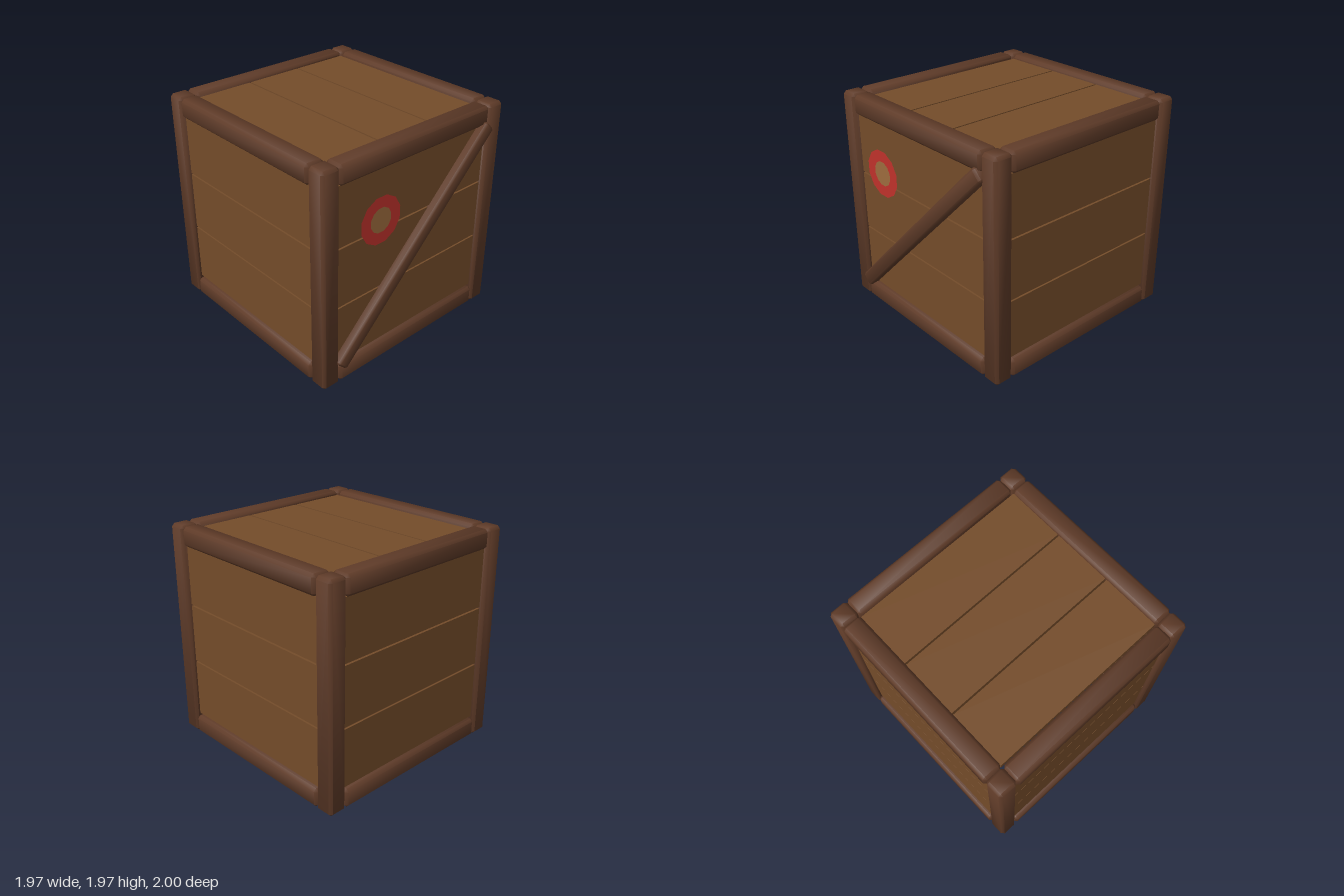
import * as THREE from 'three';
import { ConvexGeometry } from 'three/addons/geometries/ConvexGeometry.js';
import { toCreasedNormals } from 'three/addons/utils/BufferGeometryUtils.js';

const frameMat = new THREE.MeshStandardMaterial({ color: 0x5f3b28 });
const plankMat = new THREE.MeshStandardMaterial({ color: 0x744c2a });
const redMat = new THREE.MeshStandardMaterial({ color: 0xc0322b });
const paleMat = new THREE.MeshStandardMaterial({ color: 0x9e6c3e });

const HEIGHT = 1.965;
const BEAM = 0.17; // thickness of posts and rails
const REACH = 0.9; // centre line of the frame timbers
const RAIL = 1.63;
const PITCH = 0.54; // plank spacing
const PLANK = 0.525;
const THICK = 0.06;

// Box with every edge and corner cut off, softly shaded
function chamferedBox(w, h, d, c) {
  const points = [];
  for (const x of [-1, 1]) for (const y of [-1, 1]) for (const z of [-1, 1]) {
    points.push(
      new THREE.Vector3(x * w / 2, y * (h / 2 - c), z * (d / 2 - c)),
      new THREE.Vector3(x * (w / 2 - c), y * h / 2, z * (d / 2 - c)),
      new THREE.Vector3(x * (w / 2 - c), y * (h / 2 - c), z * d / 2)
    );
  }
  return toCreasedNormals(new ConvexGeometry(points), 1);
}

function add(parent, name, geometry, material, x, y, z) {
  const mesh = new THREE.Mesh(geometry, material);
  mesh.name = name;
  mesh.position.set(x, y, z);
  parent.add(mesh);
  return mesh;
}

export function createModel() {
  const model = new THREE.Group();
  model.name = 'crate';
  const body = new THREE.Group();
  body.name = 'crateBody';
  body.position.z = -0.0175; // leaves room for the brace at the front
  model.add(body);

  // Corner posts
  const postGeo = chamferedBox(BEAM, HEIGHT, BEAM, 0.025);
  for (const x of [-REACH, REACH]) for (const z of [-REACH, REACH]) {
    add(body, 'cornerPost', postGeo, frameMat, x, HEIGHT / 2, z);
  }

  // Four walls, each with two rails and three planks
  const railGeo = chamferedBox(RAIL, BEAM, BEAM, 0.025);
  const plankGeo = new THREE.BoxGeometry(RAIL, PLANK, THICK);
  ['front', 'left', 'back', 'right'].forEach((side, i) => {
    const wall = new THREE.Group();
    wall.name = side + 'Wall';
    wall.rotation.y = i * Math.PI / 2;
    add(wall, 'bottomRail', railGeo, frameMat, 0, BEAM / 2 + 0.003, REACH);
    add(wall, 'topRail', railGeo, frameMat, 0, HEIGHT - BEAM / 2, REACH);
    for (let k = -1; k <= 1; k++) {
      add(wall, 'wallPlank', plankGeo, plankMat, 0, 0.986 + k * PITCH, 0.915);
    }
    body.add(wall);
  });

  // Lid planks; the underside is open
  const lidGeo = new THREE.BoxGeometry(PLANK, THICK, RAIL);
  for (let k = -1; k <= 1; k++) {
    add(body, 'lidPlank', lidGeo, plankMat, k * PITCH, 1.898, 0);
  }

  // Diagonal brace across the front
  const brace = add(model, 'diagonalBrace', chamferedBox(2.3, 0.128, 0.12, 0.018),
    frameMat, 0, 0.987, 0.94);
  brace.rotation.z = Math.PI / 4;

  // Round painted mark on the front
  const turn = Math.PI / 12;
  add(model, 'redRing', new THREE.RingGeometry(0.11, 0.21, 12, 1, turn), redMat, -0.42, 1.385, 0.985);
  add(model, 'ringCentre', new THREE.CircleGeometry(0.11, 12, turn), paleMat, -0.42, 1.385, 0.985);

  return model;
}
